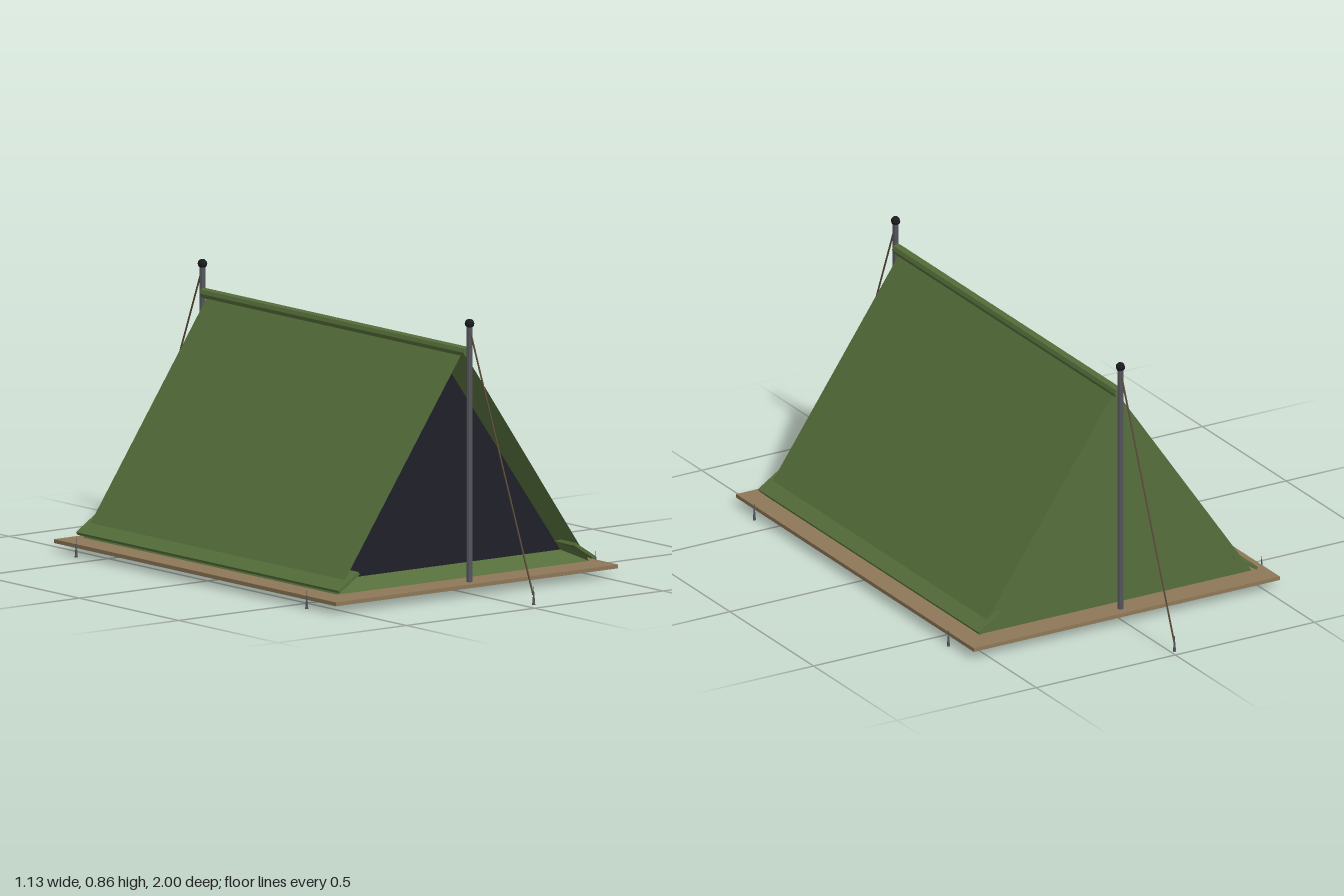
import * as THREE from 'three';

const mat = (name, color, side = THREE.FrontSide) => {
  const m = new THREE.MeshStandardMaterial({ color, side, flatShading: true });
  m.name = name;
  return m;
};

// Flat-faced geometry from polygons, each a loop of [x, y, z] corners
function polygons(faces) {
  const pos = [];
  for (const f of faces)
    for (let i = 1; i < f.length - 1; i++) pos.push(...f[0], ...f[i], ...f[i + 1]);
  const g = new THREE.BufferGeometry();
  g.setAttribute('position', new THREE.Float32BufferAttribute(pos, 3));
  g.computeVertexNormals();
  return g;
}

export function createModel() {
  const root = new THREE.Group();
  root.name = 'tent';

  const canvas = mat('green canvas', 0x556e3a, THREE.DoubleSide);
  const dark = mat('dark interior', 0x20202a, THREE.DoubleSide);
  const sheet = mat('tan groundsheet', 0x8e7758);
  const metal = mat('grey metal', 0x55565e);
  const black = mat('black cap', 0x1a1b1e);
  const rope = mat('brown rope', 0x5a4a3a);

  const add = (name, geometry, material, x = 0, y = 0, z = 0) => {
    const m = new THREE.Mesh(geometry, material);
    m.name = name;
    m.position.set(x, y, z);
    root.add(m);
    return m;
  };

  // Groundsheet
  add('groundsheet', new THREE.BoxGeometry(1.1, 0.012, 1.42), sheet, 0, 0.031, 0);

  // Canvas body: triangular prism whose front funnels in to the doorway
  const triangle = (half, base, top, z) => [[-half, base, z], [half, base, z], [0, top, z]];
  const front = triangle(0.49, 0.045, 0.755, 0.64);
  const back = triangle(0.49, 0.045, 0.755, -0.64);
  const door = triangle(0.44, 0.075, 0.695, 0.56);
  const faces = [[back[2], back[1], back[0]]];
  for (let i = 0; i < 3; i++) {
    const j = (i + 1) % 3;
    faces.push([back[i], back[j], front[j], front[i]]);
    faces.push([front[i], front[j], door[j], door[i]]);
  }
  add('canvasBody', polygons(faces), canvas);
  add('doorway', polygons([door]), dark);

  // Ridge sleeve
  const ridge = new THREE.CylinderGeometry(0.017, 0.017, 1.33, 8).rotateX(Math.PI / 2);
  add('ridgeSleeve', ridge, canvas, 0, 0.754, 0);

  // Flared hems along both sides
  for (const s of [-1, 1]) {
    const hem = add('sideHem', new THREE.BoxGeometry(0.094, 0.01, 1.32), canvas, s * 0.46, 0.082, 0);
    hem.rotation.z = -s * 0.57;
  }

  const peg = new THREE.ConeGeometry(0.005, 0.06, 6);
  for (const s of [-1, 1]) {
    // End poles with round caps
    add('pole', new THREE.CylinderGeometry(0.01, 0.01, 0.8, 8), metal, 0, 0.435, s * 0.672);
    add('poleCap', new THREE.SphereGeometry(0.015, 8, 6), black, 0, 0.845, s * 0.672);

    // Guy rope with its peg
    const line = new THREE.LineCurve3(
      new THREE.Vector3(0, 0.825, s * 0.675), new THREE.Vector3(0, 0.04, s * 0.993));
    add('guyRope', new THREE.TubeGeometry(line, 1, 0.003, 5), rope);
    add('ropePeg', peg, metal, 0, 0.04, s * 0.995);

    // Side pegs
    for (const t of [-1, 1]) add('sidePeg', peg, metal, s * 0.563, 0.03, t * 0.58);
  }
  return root;
}
